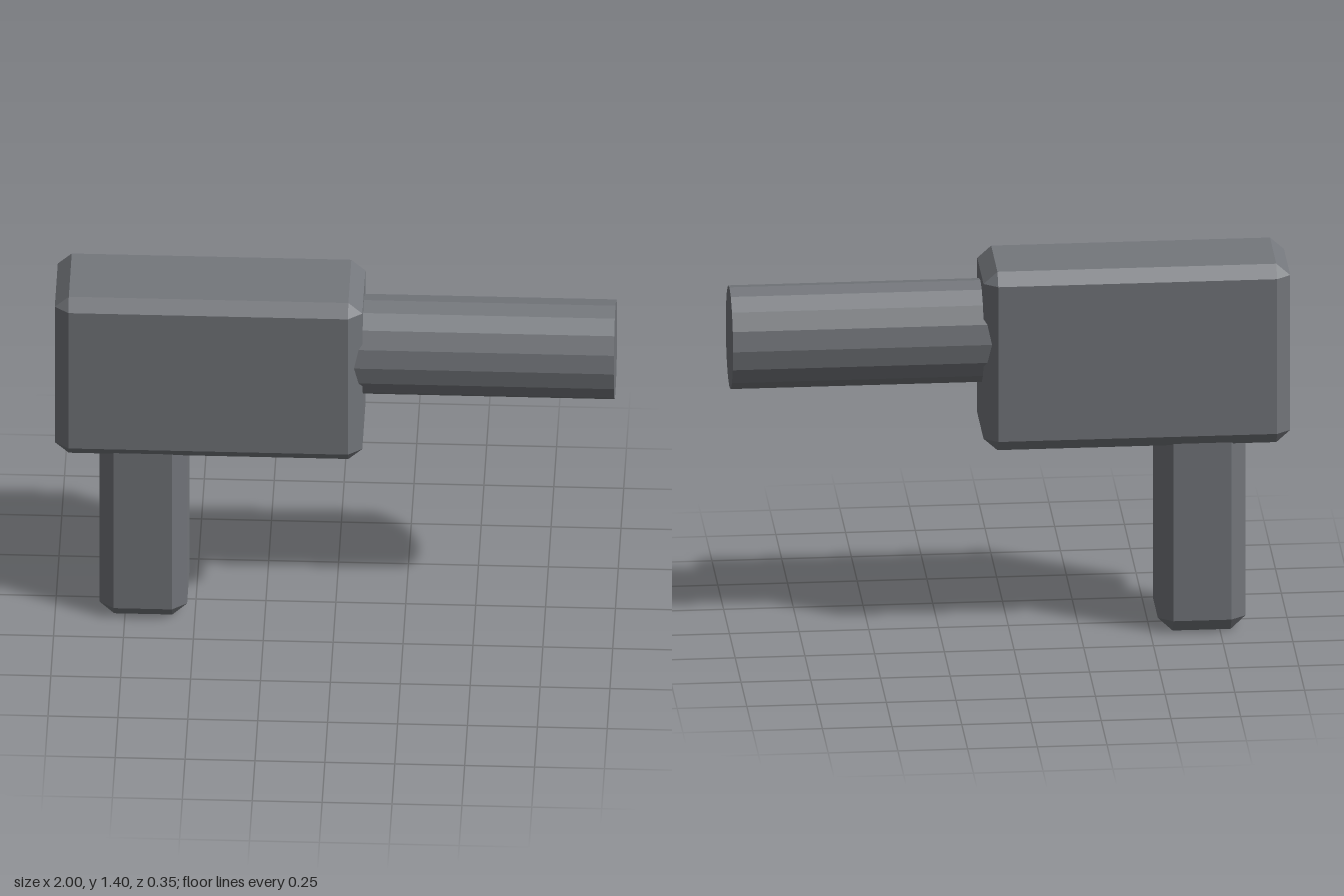
import * as THREE from 'three';
import { ConvexGeometry } from 'three/addons/geometries/ConvexGeometry.js';

// Box with chamfered edges; half sizes and chamfers per axis
function chamferBox(half, cut) {
  const points = [];
  for (const sx of [-1, 1]) for (const sy of [-1, 1]) for (const sz of [-1, 1]) {
    const signs = [sx, sy, sz];
    // each corner becomes three points, one touching each outer face
    for (let face = 0; face < 3; face++) {
      points.push(new THREE.Vector3(
        ...signs.map((s, i) => s * (i === face ? half[i] : half[i] - cut[i]))));
    }
  }
  return new ConvexGeometry(points);
}

export function createModel() {
  const group = new THREE.Group();
  const metal = new THREE.MeshStandardMaterial({ color: 0x74777c });
  metal.name = 'grey metal';
  metal.flatShading = true;

  const add = (name, geometry, x, y, z) => {
    const mesh = new THREE.Mesh(geometry, metal);
    mesh.name = name;
    mesh.position.set(x, y, z);
    group.add(mesh);
  };

  // Main block
  add('body', chamferBox([0.55, 0.34, 0.173], [0.05, 0.045, 0.038]), -0.45, 1.06, 0);

  // Upright grip, its top sunk into the block
  add('grip', chamferBox([0.157, 0.42, 0.14], [0.053, 0.05, 0.04]), -0.685, 0.42, 0);

  // Sixteen-sided oval barrel running into the block
  const barrel = new THREE.CylinderGeometry(1, 1, 1, 16);
  barrel.rotateZ(-Math.PI / 2);
  barrel.scale(1, 0.19, 0.157);
  add('barrel', barrel, 0.5, 1.13, 0);

  return group;
}
